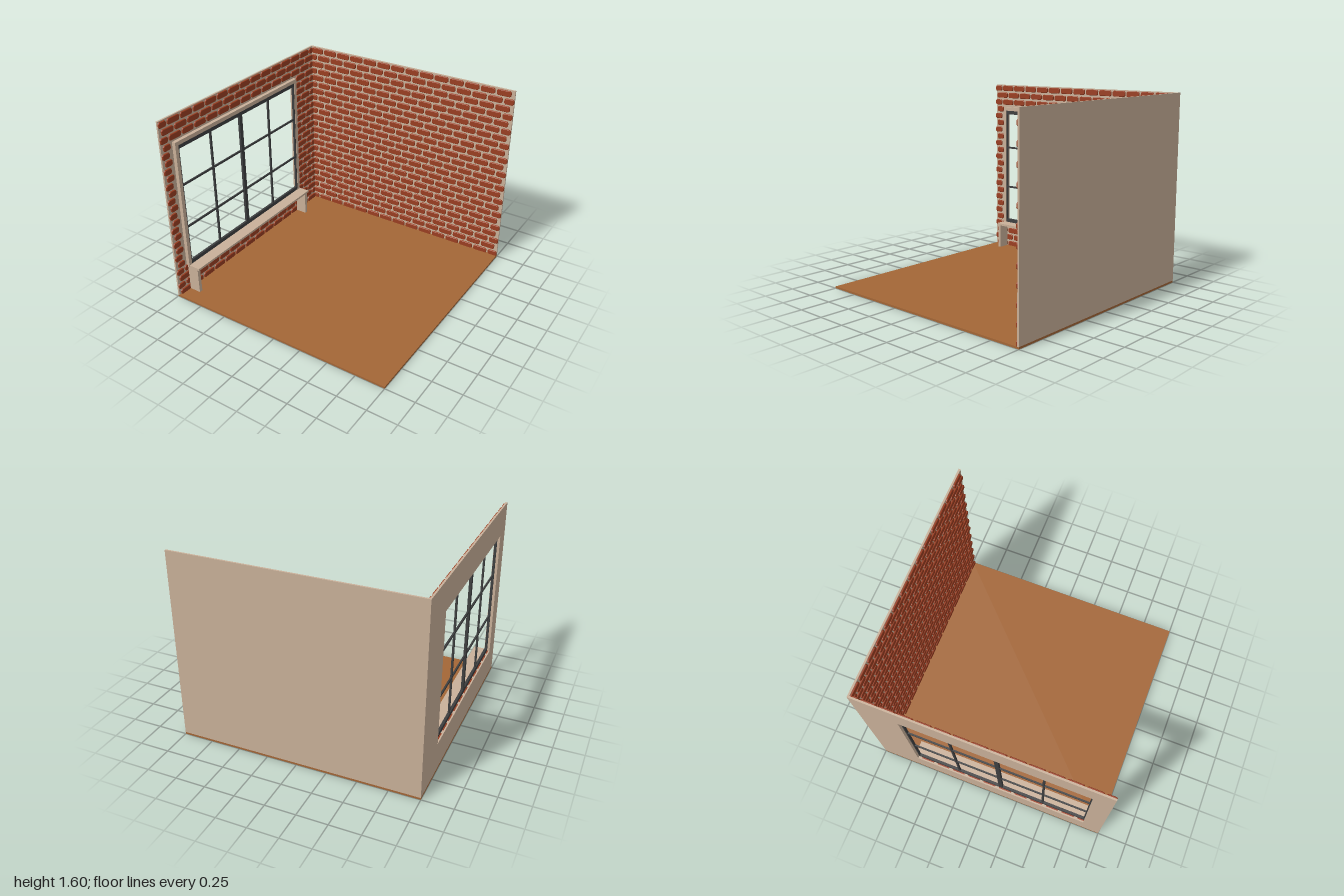
import * as THREE from 'three';
import { mergeGeometries } from 'three/addons/utils/BufferGeometryUtils.js';

const material = (name, color) => {
  const m = new THREE.MeshStandardMaterial({ color });
  m.name = name;
  return m;
};

// Box given by its minimum and maximum corners
function block(x0, x1, y0, y1, z0, z1) {
  return new THREE.BoxGeometry(x1 - x0, y1 - y0, z1 - z0)
    .translate((x0 + x1) / 2, (y0 + y1) / 2, (z0 + z1) / 2);
}

const PITCH = 0.141, LENGTH = 0.124, ROW = 0.0667, HEIGHT = 0.049;
const BEVEL = 0.003, DEPTH = 0.013;

// One brick with clipped corners, its back on z = 0
function brick(u0, u1, v0, v1) {
  const c = Math.min(0.009, (u1 - u0) / 4);
  const [a, b, d, e] = [u0 + BEVEL, u1 - BEVEL, v0 + BEVEL, v1 - BEVEL];
  const s = new THREE.Shape([
    [a + c, d], [b - c, d], [b, d + c], [b, e - c],
    [b - c, e], [a + c, e], [a, e - c], [a, d + c],
  ].map(([x, y]) => new THREE.Vector2(x, y)));
  return new THREE.ExtrudeGeometry(s, {
    depth: DEPTH - BEVEL, bevelEnabled: true, bevelSegments: 1,
    bevelSize: BEVEL, bevelThickness: BEVEL,
  });
}

// Running bond; spans(row) lists the stretches that carry bricks
function brickwork(phase, spans) {
  const parts = [];
  for (let k = 0; k < 24; k++) {
    const v = 0.033 + k * ROW;
    const shift = phase + (k % 2 ? 0 : PITCH / 2);
    for (const [lo, hi] of spans(k)) {
      for (let i = -16; i <= 16; i++) {
        const u = shift + i * PITCH;
        const u0 = Math.max(lo, u - LENGTH / 2), u1 = Math.min(hi, u + LENGTH / 2);
        if (u1 - u0 > 0.018) parts.push(brick(u0, u1, v - HEIGHT / 2, v + HEIGHT / 2));
      }
    }
  }
  return mergeGeometries(parts);
}

export function createModel() {
  const group = new THREE.Group();
  group.name = 'roomCorner';
  const wood = material('floorWood', 0xa36636);
  const mortar = material('mortarBeige', 0xc9b099);
  const red = material('brickRed', 0x9a3e21);
  const dark = material('frameCharcoal', 0x3e3f40);
  const add = (name, geometry, mat) => {
    const mesh = new THREE.Mesh(geometry, mat);
    mesh.name = name;
    group.add(mesh);
    return mesh;
  };

  // Floor slab and back wall
  add('floor', block(-1, 1, 0, 0.016, -1, 1), wood);
  add('backWall', block(-1, 1, 0.016, 1.6, -1, -0.985), mortar);
  add('backBricks', brickwork(-0.783, () => [[-0.985, 1]]), red)
    .position.z = -0.985;

  // Side wall with a window opening
  const Z0 = -0.65, Z1 = 0.848, Y0 = 0.255, Y1 = 1.355;
  const rectangle = (T, x0, x1, y0, y1) => new T([
    new THREE.Vector2(x0, y0), new THREE.Vector2(x1, y0),
    new THREE.Vector2(x1, y1), new THREE.Vector2(x0, y1),
  ]);
  const framed = (z0, z1, y0, y1, depth) => {
    const s = rectangle(THREE.Shape, z0, z1, y0, y1);
    s.holes.push(rectangle(THREE.Path, Z0, Z1, Y0, Y1));
    return new THREE.ExtrudeGeometry(s, { depth, bevelEnabled: false })
      .rotateY(-Math.PI / 2);
  };
  add('sideWall', framed(-0.985, 1, 0.016, 1.6, 0.015), mortar).position.x = -0.985;

  // Rows beside the window stop short of its trim
  const sideBricks = add('sideBricks', brickwork(-0.564,
    k => (k > 3 && k < 21 ? [[-1, -0.905], [0.705, 0.972]] : [[-1, 0.972]])), red);
  sideBricks.rotation.y = Math.PI / 2;
  sideBricks.position.x = -0.985;

  // Raised trim round the opening
  add('windowTrim', framed(-0.682, 0.88, 0.238, 1.388, 0.032), mortar).position.x = -0.953;

  // Two sashes, each with stiles, rails and glazing bars
  const middle = 0.101;
  for (const [name, z0, z1, outer] of [
    ['rearSash', Z0, middle, 0], ['frontSash', middle, Z1, 1],
  ]) {
    const [wa, wb] = outer ? [0.017, 0.01] : [0.01, 0.017];
    const x0 = -0.978, x1 = -0.957, zm = (z0 + z1) / 2;
    const bars = [
      block(x0, x1, Y0, Y1, z0, z0 + wa),
      block(x0, x1, Y0, Y1, z1 - wb, z1),
      block(x0, x1, Y0, Y0 + 0.034, z0 + wa, z1 - wb),
      block(x0, x1, Y1 - 0.034, Y1, z0 + wa, z1 - wb),
      block(-0.975, -0.96, Y0, Y1, zm - 0.008, zm + 0.008),
    ];
    for (const y of [0.61, 0.997]) {
      bars.push(block(-0.974, -0.961, y - 0.008, y + 0.008, z0 + wa, z1 - wb));
    }
    add(name, mergeGeometries(bars), dark);
  }

  // Bench under the window
  add('benchTop', block(-0.972, -0.853, 0.237, 0.256, -0.685, 0.877), mortar);
  for (const [name, z] of [['benchRearLeg', -0.667], ['benchFrontLeg', 0.862]]) {
    add(name, block(-0.972, -0.87, 0.016, 0.237, z - 0.015, z + 0.015), mortar);
  }
  return group;
}
